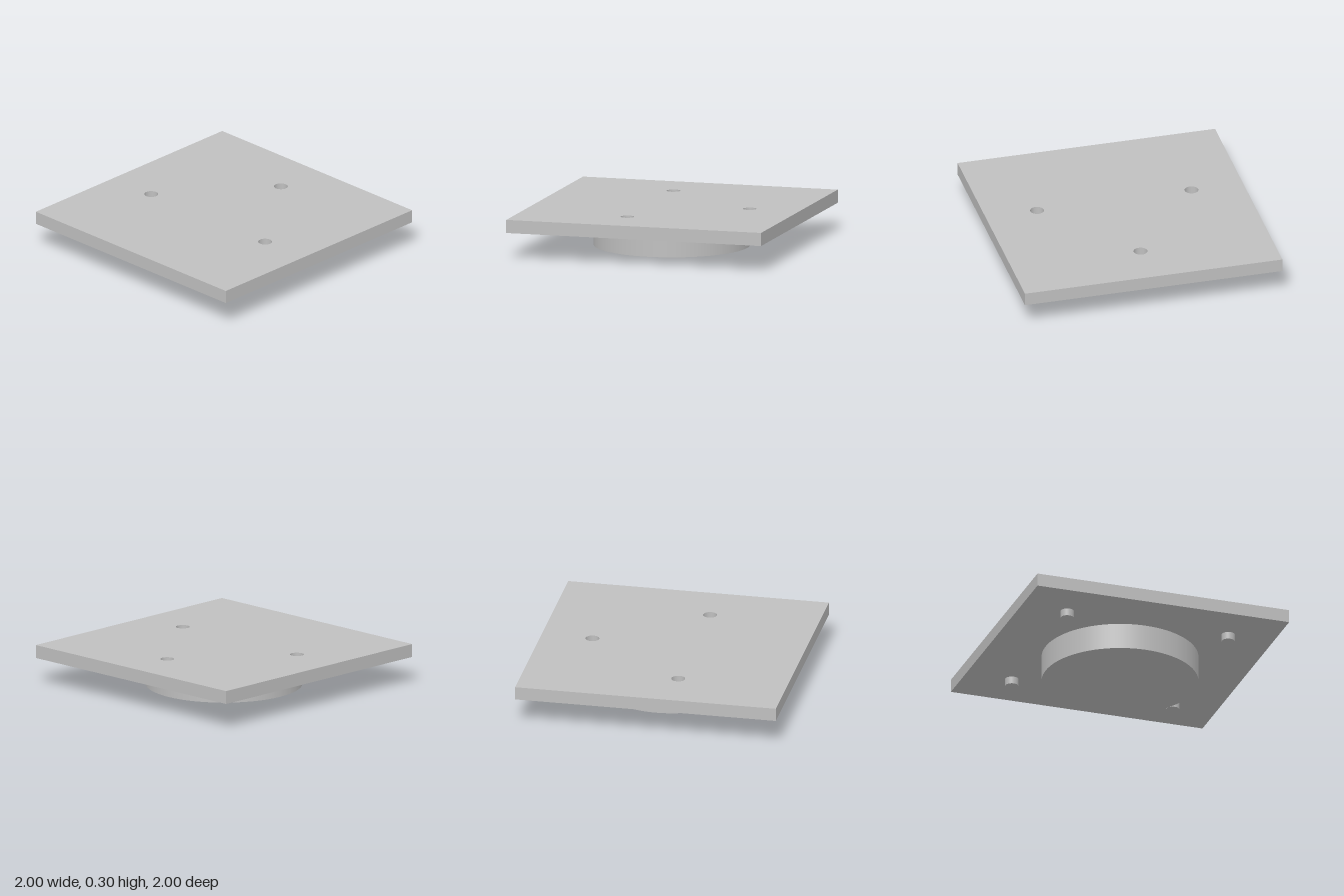
import * as THREE from 'three';

const TOP = 0.3, UNDERSIDE = 0.2, HOLE_DEPTH = 0.06;

export function createModel() {
  const model = new THREE.Group();
  model.name = 'mountingPlate';
  const grey = new THREE.MeshStandardMaterial({ color: 0xbfbfbf });
  grey.name = 'plain grey';

  const add = (name, geometry, x, y, z) => {
    const mesh = new THREE.Mesh(geometry, grey);
    mesh.name = name;
    mesh.position.set(x, y, z);
    model.add(mesh);
    return mesh;
  };

  // Upper layer of the plate, pierced by three round sockets
  const outline = new THREE.Shape([
    new THREE.Vector2(-1, -1), new THREE.Vector2(1, -1),
    new THREE.Vector2(1, 1), new THREE.Vector2(-1, 1),
  ]);
  for (const [x, z] of [[0, -0.61], [-0.6, 0.17], [0.6, 0.17]]) {
    outline.holes.push(new THREE.Path().absarc(x, -z, 0.052, 0, Math.PI * 2, true));
  }
  const upper = new THREE.ExtrudeGeometry(outline, {
    depth: HOLE_DEPTH, bevelEnabled: false, curveSegments: 32,
  });
  upper.rotateX(-Math.PI / 2);
  add('plateTop', upper, 0, TOP - HOLE_DEPTH, 0);

  // Lower layer closes the sockets
  const lowerHeight = TOP - HOLE_DEPTH - UNDERSIDE;
  add('plateBase', new THREE.BoxGeometry(2, lowerHeight, 2), 0, UNDERSIDE + lowerHeight / 2, 0);

  // Round boss underneath
  add('boss', new THREE.CylinderGeometry(0.59, 0.59, UNDERSIDE, 96), 0, UNDERSIDE / 2, 0);

  // Four short pegs on the diagonals
  const pegHeight = 0.055;
  const pegGeometry = new THREE.CylinderGeometry(0.051, 0.049, pegHeight, 32);
  for (const x of [-0.64, 0.64]) {
    for (const z of [-0.64, 0.64]) add('peg', pegGeometry, x, UNDERSIDE - pegHeight / 2, z);
  }

  return model;
}
